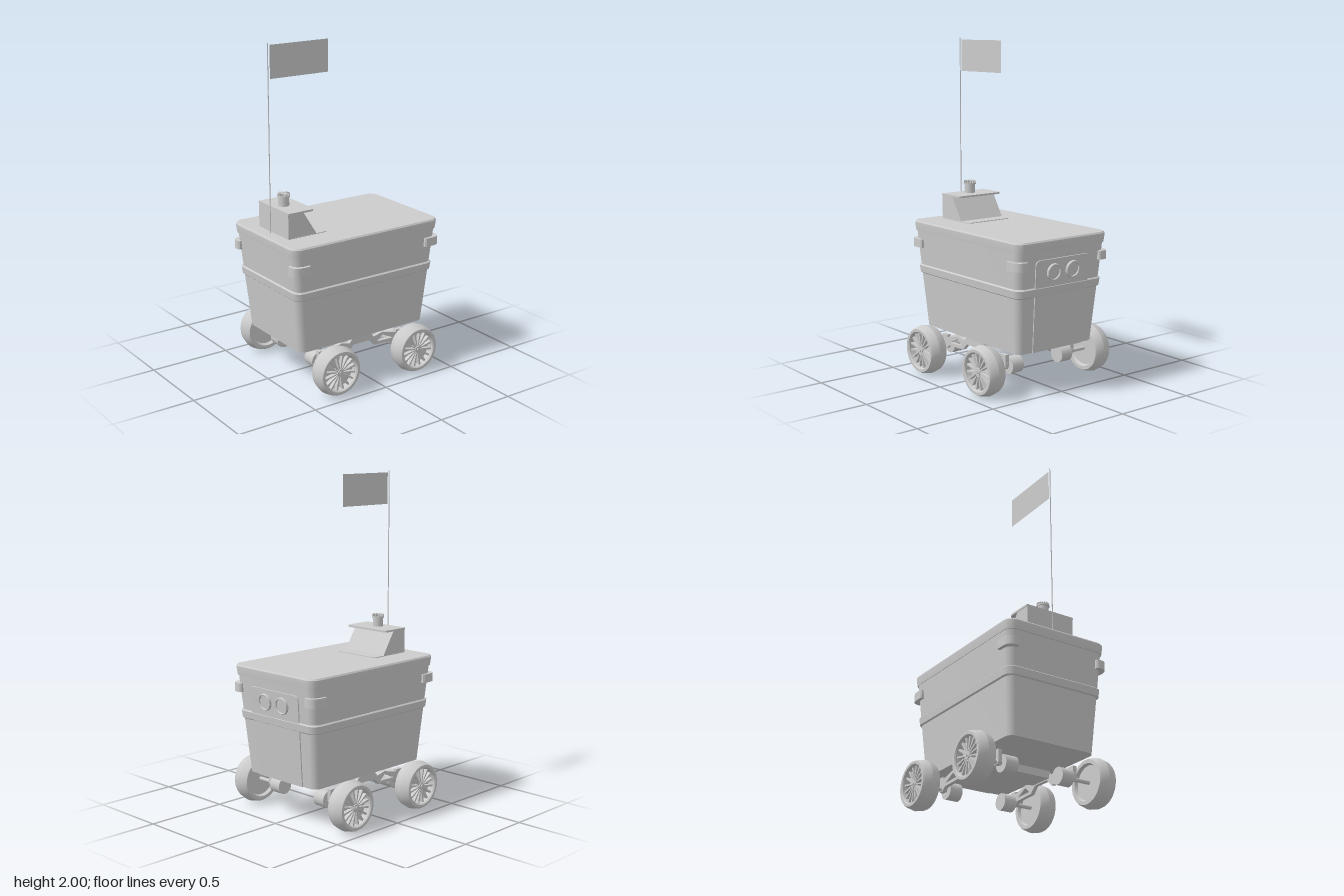
import * as THREE from 'three';
import { toCreasedNormals } from 'three/addons/utils/BufferGeometryUtils.js';

const material = new THREE.MeshStandardMaterial({ color: 0xcccccc, side: THREE.DoubleSide });

function add(parent, name, geometry, x = 0, y = 0, z = 0) {
  const mesh = new THREE.Mesh(geometry, material);
  mesh.name = name;
  mesh.position.set(x, y, z);
  parent.add(mesh);
  return mesh;
}

const cyl = (r0, r1, h, n = 24) => new THREE.CylinderGeometry(r0, r1, h, n);

// Closed ring of points of a rounded rectangle in the ground plane
function ring(hx, hz, r, y, steps = 6) {
  const pts = [];
  [[1, 1], [-1, 1], [-1, -1], [1, -1]].forEach(([sx, sz], q) => {
    for (let i = 0; i <= steps; i++) {
      const a = (q + i / steps) * Math.PI / 2;
      pts.push(new THREE.Vector3(sx * (hx - r) + r * Math.cos(a), y, sz * (hz - r) + r * Math.sin(a)));
    }
  });
  return pts;
}

// Solid skinned through levels [y, halfX, halfZ, cornerRadius], bottom to top
function loft(levels) {
  const rings = levels.map(([y, hx, hz, r]) => ring(hx, hz, r, y));
  const pos = [];
  const tri = (...v) => v.forEach(p => pos.push(p.x, p.y, p.z));
  const n = rings[0].length, last = rings.length - 1;
  const bottom = new THREE.Vector3(0, levels[0][0], 0);
  const top = new THREE.Vector3(0, levels[last][0], 0);
  for (let i = 0; i < n; i++) {
    const j = (i + 1) % n;
    for (let k = 0; k < last; k++) {
      const a = rings[k], b = rings[k + 1];
      tri(a[i], b[i], b[j]);
      tri(a[i], b[j], a[j]);
    }
    tri(bottom, rings[0][i], rings[0][j]);
    tri(top, rings[last][j], rings[last][i]);
  }
  const g = new THREE.BufferGeometry();
  g.setAttribute('position', new THREE.Float32BufferAttribute(pos, 3));
  return toCreasedNormals(g, 0.6);
}

function polygon(points) {
  return new THREE.Shape(points.map(([x, y]) => new THREE.Vector2(x, y)));
}

function extrude(shape, depth) {
  const g = new THREE.ExtrudeGeometry(shape, { depth, bevelEnabled: false, curveSegments: 8 });
  return g.translate(0, 0, -depth / 2);
}

// Wheel with its axis along z and the spoked face towards +z
function makeWheel() {
  const wheel = new THREE.Group();
  wheel.name = 'wheel';
  const profile = [[0, -0.035], [0.1, -0.035], [0.108, -0.055], [0.13, -0.055], [0.1375, -0.042], [0.1465, 0],
    [0.1375, 0.042], [0.13, 0.055], [0.114, 0.055], [0.108, 0.048], [0.104, 0.01], [0, 0.01]];
  const tyre = new THREE.LatheGeometry(profile.map(([r, y]) => new THREE.Vector2(r, y)), 48);
  add(wheel, 'tyre', toCreasedNormals(tyre.rotateX(Math.PI / 2), 0.4));
  const hub = cyl(0.02, 0.026, 0.035).rotateX(Math.PI / 2);
  add(wheel, 'hub', hub, 0, 0, 0.027);
  add(wheel, 'hubCap', cyl(0.009, 0.009, 0.008, 12).rotateX(Math.PI / 2), 0, 0, 0.047);
  // Spokes widen towards the rim
  const spoke = extrude(polygon([[0.015, -0.003], [0.108, -0.006], [0.108, 0.006], [0.015, 0.003]]), 0.024);
  for (let i = 0; i < 16; i++) {
    add(wheel, 'spoke', spoke, 0, 0, 0.028).rotation.z = (i + 0.5) * Math.PI / 8;
  }
  return wheel;
}

export function createModel() {
  const model = new THREE.Group();
  model.name = 'deliveryRobot';

  // Tapered tub, raised belt and lid
  add(model, 'body', loft([[0.25, 0.45, 0.282, 0.045], [0.845, 0.509, 0.326, 0.055]]));
  add(model, 'belt', loft([[0.578, 0.485, 0.308, 0.05], [0.584, 0.492, 0.316, 0.055],
    [0.626, 0.497, 0.32, 0.055], [0.633, 0.489, 0.312, 0.05]]));
  add(model, 'lid', loft([[0.84, 0.515, 0.329, 0.055], [0.88, 0.521, 0.334, 0.058],
    [0.893, 0.521, 0.334, 0.058], [0.902, 0.514, 0.327, 0.052]]));

  // Corner bumpers
  for (const sx of [1, -1]) for (const sz of [1, -1]) {
    const s = new THREE.Shape();
    s.moveTo(0.412, 0.3);
    s.lineTo(0.412, 0.334);
    s.lineTo(0.42, 0.34);
    s.lineTo(0.465, 0.34);
    s.quadraticCurveTo(0.524, 0.34, 0.524, 0.285);
    s.lineTo(0.522, 0.272);
    s.lineTo(0.515, 0.264);
    s.lineTo(0.47, 0.264);
    s.lineTo(0.47, 0.3);
    const g = extrude(s, 0.052).rotateX(Math.PI / 2);
    add(model, 'cornerBumper', g, 0, 0.766, 0).scale.set(sx, 1, sz);
  }

  // Front panel leaning with the tub, with two round lamps
  const face = new THREE.Group();
  face.name = 'frontPanelGroup';
  face.position.set(0.45, 0.25, 0);
  face.rotation.set(0, Math.PI / 2, 0);
  const lean = new THREE.Group();
  lean.name = 'frontPanelLean';
  lean.rotation.x = Math.atan(0.059 / 0.595);
  face.add(lean);
  model.add(face);
  const panel = new THREE.Shape();
  panel.moveTo(-0.18, 0);
  panel.lineTo(0.18, 0);
  panel.lineTo(0.201, 0.51);
  panel.quadraticCurveTo(0.202, 0.542, 0.17, 0.542);
  panel.lineTo(-0.17, 0.542);
  panel.quadraticCurveTo(-0.202, 0.542, -0.201, 0.51);
  add(lean, 'frontPanel', extrude(panel, 0.012), 0, 0, 0.001);
  for (const s of [-1, 1]) {
    const rim = [[0.04, 0], [0.04, 0.014], [0.043, 0.017], [0.047, 0.017], [0.05, 0.012], [0.05, 0]];
    const g = new THREE.LatheGeometry(rim.map(([r, y]) => new THREE.Vector2(r, y)), 32).rotateX(Math.PI / 2);
    add(lean, 'lampRim', toCreasedNormals(g, 0.5), s * 0.07, 0.465, 0.004);
    add(lean, 'lampLens', cyl(0.041, 0.041, 0.008, 32).rotateX(Math.PI / 2), s * 0.07, 0.465, 0.008);
  }

  // Sensor housing on the lid
  const housing = polygon([[-0.443, 0.895], [-0.245, 0.895], [-0.342, 1.048], [-0.443, 1.048]]);
  add(model, 'sensorHousing', extrude(housing, 0.312));
  const plate = (x0, x1, hz, r, depth) => {
    const s = new THREE.Shape();
    s.moveTo(x0, -hz);
    s.lineTo(x1 - r, -hz);
    s.quadraticCurveTo(x1, -hz, x1, r - hz);
    s.lineTo(x1, hz - r);
    s.quadraticCurveTo(x1, hz, x1 - r, hz);
    s.lineTo(x0, hz);
    return extrude(s, depth).rotateX(Math.PI / 2);
  };
  add(model, 'housingFoot', plate(-0.443, -0.17, 0.158, 0.03, 0.008), 0, 0.902, 0);
  add(model, 'housingRoof', plate(-0.443, -0.266, 0.16, 0.025, 0.011), 0, 1.05, 0);

  // Round sensor with a finned cap
  const sensor = new THREE.Group();
  sensor.name = 'sensor';
  sensor.position.set(-0.372, 1.055, 0);
  model.add(sensor);
  add(sensor, 'sensorBarrel', cyl(0.032, 0.032, 0.06), 0, 0.03, 0);
  add(sensor, 'sensorCollar', cyl(0.038, 0.038, 0.01), 0, 0.058, 0);
  add(sensor, 'sensorCore', cyl(0.014, 0.014, 0.012), 0, 0.067, 0);
  for (let i = 0; i < 18; i++) {
    const fin = new THREE.BoxGeometry(0.024, 0.014, 0.004).translate(0.024, 0, 0);
    add(sensor, 'sensorFin', fin, 0, 0.068, 0).rotation.y = i * Math.PI / 9;
  }

  // Flag on a thin pole
  add(model, 'flagPole', cyl(0.003, 0.003, 1.1, 8), -0.464, 1.45, 0);
  add(model, 'flag', new THREE.PlaneGeometry(0.392, 0.19), -0.255, 1.893, 0);

  // Chassis cross plate, rocker arms, motors and wheels
  add(model, 'chassisPlate', new THREE.BoxGeometry(0.16, 0.046, 0.48), 0, 0.229, 0);
  for (const side of [1, -1]) {
    const half = [[0.06, 0.2], [0.1, 0.16], [0.24, 0.155], [0.27, 0.132], [0.3, 0.132], [0.31, 0.165],
      [0.27, 0.2], [0.15, 0.23], [0.09, 0.215], [0.06, 0.25]];
    const mirrored = half.map(([x, y]) => [-x, y]).reverse();
    const arm = polygon([...half, ...mirrored]);
    for (const s of [1, -1]) {
      arm.holes.push(polygon([[s * 0.115, 0.178], [s * 0.235, 0.174], [s * 0.155, 0.212]]));
    }
    add(model, 'rockerArm', extrude(arm, 0.024), 0, 0, side * 0.248);
    for (const end of [1, -1]) {
      const x = end * 0.284;
      add(model, 'armMount', new THREE.BoxGeometry(0.05, 0.075, 0.024), x, 0.18, side * 0.248);
      add(model, 'motor', cyl(0.051, 0.051, 0.08).rotateX(Math.PI / 2), x, 0.147, side * 0.186);
      add(model, 'axle', cyl(0.012, 0.012, 0.16, 16).rotateX(Math.PI / 2), x, 0.147, side * 0.29);
      const wheel = makeWheel();
      wheel.position.set(x, 0.147, side * 0.398);
      if (side < 0) wheel.rotation.y = Math.PI;
      model.add(wheel);
    }
  }
  return model;
}
